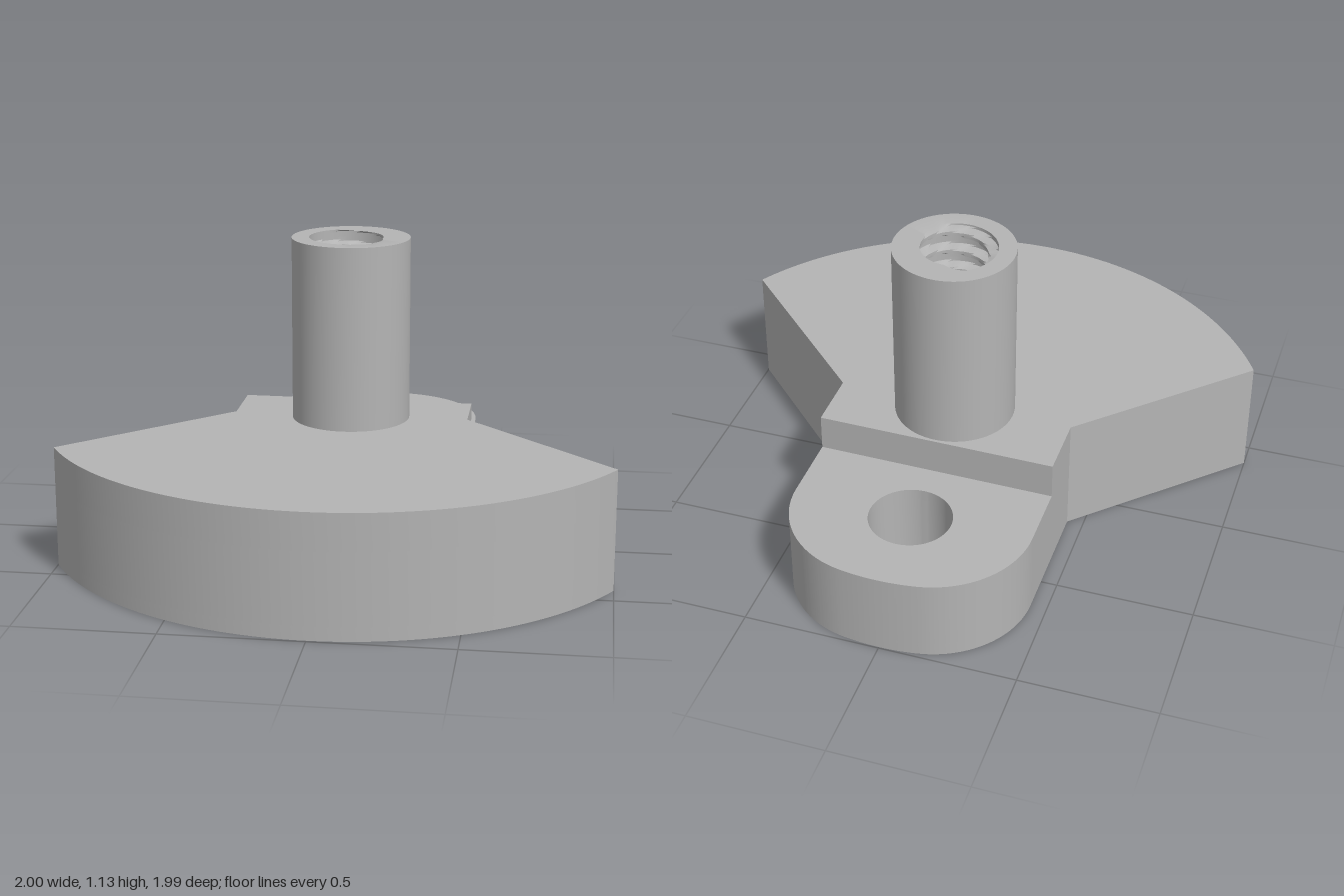
import * as THREE from 'three';
import { toCreasedNormals } from 'three/addons/utils/BufferGeometryUtils.js';

const STEP = 0.31, DECK = 0.445, TOP = 1.13, CZ = -0.15;

// Full outline in plan (x, z): arc-shaped counterweight plus rounded tab
function sectorEdge(s) {
  const a = Math.atan2(0.552, 1);
  s.lineTo(0.44, CZ);
  s.absarc(0, CZ, 1.142, a, Math.PI - a, false);
  s.lineTo(-0.44, CZ);
}

function fullOutline() {
  const s = new THREE.Shape(), a = 1.405, r = 0.36, z = -0.628;
  s.moveTo(0.44, z);
  sectorEdge(s);
  s.absarc(-0.08, z, r, Math.PI, Math.PI + a, false);
  s.absarc(0, CZ, 0.845, Math.PI + a, 2 * Math.PI - a, false);
  s.absarc(0.08, z, r, 2 * Math.PI - a, 2 * Math.PI, false);
  return s;
}

function deckOutline() {
  const s = new THREE.Shape();
  s.moveTo(0.44, -0.375);
  sectorEdge(s);
  s.lineTo(-0.44, -0.387);
  return s;
}

function hole(x, z, r) {
  return new THREE.Path().absarc(x, z, r, 0, Math.PI * 2, true);
}

function slab(shape, bottom, top) {
  const g = new THREE.ExtrudeGeometry(shape, { depth: top - bottom, bevelEnabled: false, curveSegments: 48 });
  g.rotateX(Math.PI / 2).translate(0, top, 0);
  return toCreasedNormals(g, 0.4);
}

// Post with an internally threaded bore, skinned from rings of radius(angle)
function threadedPost() {
  const N = 64, pitch = 0.075, floor = 0.48, perTurn = 12;
  const bore = (t, y) => {
    const p = (y - TOP) / pitch + (t - 2.44) / (2 * Math.PI);
    const d = Math.abs(p - Math.round(p));
    return 0.12 + 0.035 * THREE.MathUtils.clamp((0.36 - d) / 0.08, 0, 1);
  };
  const rings = [[DECK, () => 0.22], [TOP, () => 0.22]];
  const rows = Math.round((TOP - floor) / pitch * perTurn);
  for (let i = 0; i <= rows; i++) {
    const y = TOP - (TOP - floor) * i / rows;
    rings.push([y, t => bore(t, y)]);
  }
  rings.push([floor, () => 0.001]);

  const pos = [], idx = [];
  rings.forEach(([y, radius], i) => {
    for (let j = 0; j < N; j++) {
      const t = j / N * Math.PI * 2, r = radius(t);
      pos.push(r * Math.cos(t), y, CZ + r * Math.sin(t));
      if (i === rings.length - 1) continue;
      const a = i * N + j, b = i * N + (j + 1) % N;
      idx.push(a, a + N, b, b, a + N, b + N);
    }
  });
  const g = new THREE.BufferGeometry();
  g.setAttribute('position', new THREE.Float32BufferAttribute(pos, 3));
  g.setIndex(idx);
  return toCreasedNormals(g, 0.5);
}

export function createModel() {
  const group = new THREE.Group();
  const metal = new THREE.MeshStandardMaterial({ color: 0xb4b4b4 });
  metal.name = 'grey metal';
  const add = (name, geometry) => {
    const m = new THREE.Mesh(geometry, metal);
    m.name = name;
    group.add(m);
  };

  // Underside layer with the pivot hole and a small blind dimple
  const under = fullOutline();
  under.holes.push(hole(0, -0.65, 0.15), hole(0.03, -0.86, 0.03));
  add('undersidePlate', slab(under, 0, 0.05));

  // Main plate with the pivot hole
  const plate = fullOutline();
  plate.holes.push(hole(0, -0.65, 0.15));
  add('mainPlate', slab(plate, 0.05, STEP));

  // Raised counterweight deck, ending in the step beside the tab
  add('counterweightDeck', slab(deckOutline(), STEP, DECK));

  add('threadedPost', threadedPost());
  return group;
}
